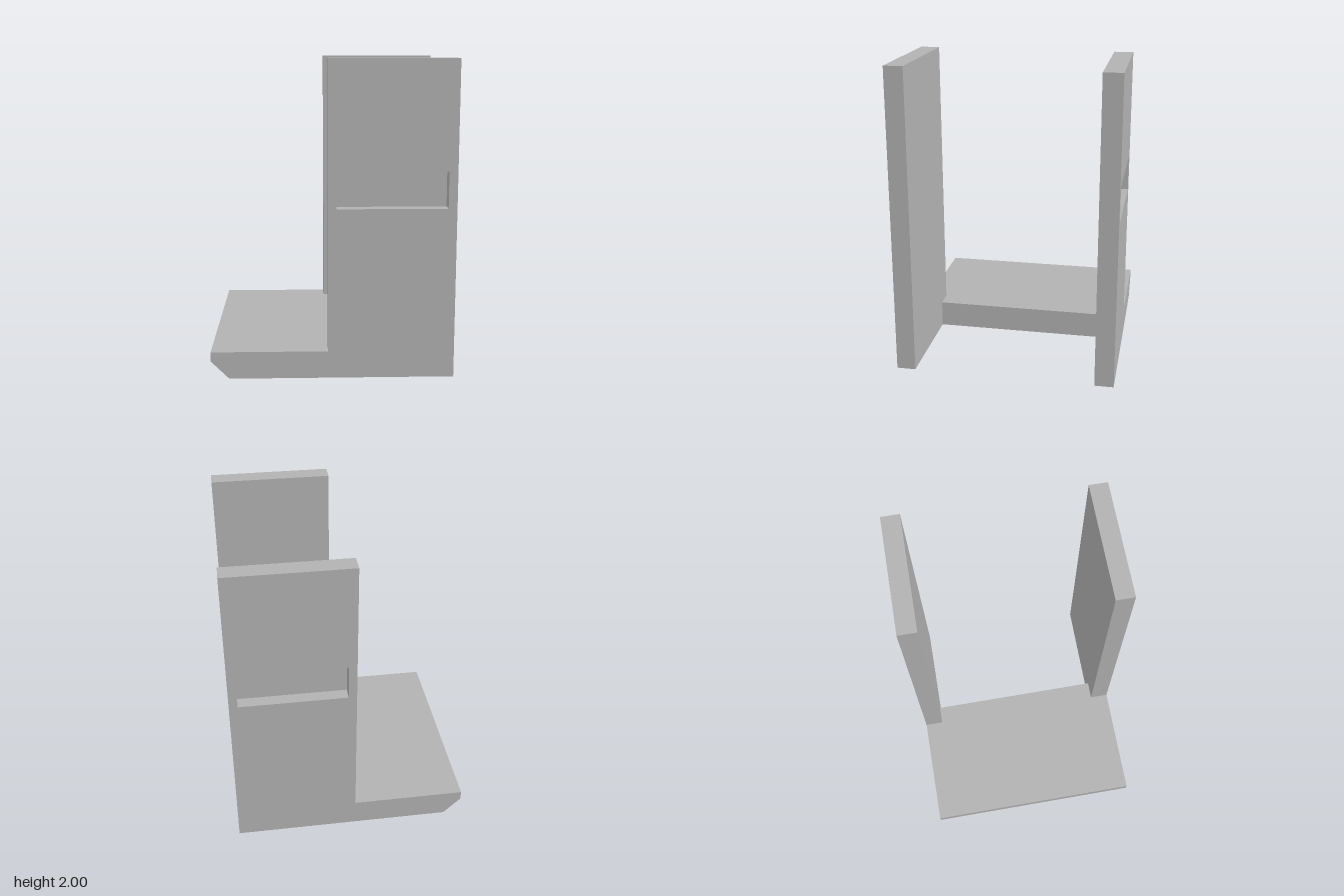
import * as THREE from 'three';

const INNER = 0.59;   // inner face of each side panel
const OUTER = 0.713;  // outer face of each side panel
const RECESS = 0.083; // depth of the handle slot

const shapeFrom = (pts) => new THREE.Shape(pts.map(([x, y]) => new THREE.Vector2(x, y)));

// Base profile with a chamfered lower front edge
const baseProfile = () => shapeFrom([
  [-0.655, 0], [0.088, 0], [0.088, 0.175], [-0.77, 0.175], [-0.77, 0.115],
]);

// L-shaped side profile: foot plus upright
const sideProfile = () => shapeFrom([
  [-0.655, 0], [0.766, 0], [0.766, 2], [-0.031, 2],
  [-0.031, 0.175], [-0.77, 0.175], [-0.77, 0.115],
]);

export function createModel() {
  const group = new THREE.Group();
  group.name = 'cradle';
  const grey = new THREE.MeshStandardMaterial({ color: 0xb2b2b2 });
  grey.name = 'grey';

  // Extrude a profile between two z positions
  const slab = (name, shape, z0, z1, parent) => {
    const geometry = new THREE.ExtrudeGeometry(shape, { depth: z1 - z0, bevelEnabled: false });
    geometry.translate(0, 0, z0);
    const mesh = new THREE.Mesh(geometry, grey);
    mesh.name = name;
    parent.add(mesh);
  };

  slab('basePlate', baseProfile(), -INNER, INNER, group);

  // Each side: solid inner layer, and an outer layer pierced by the slot
  const floor = OUTER - RECESS;
  for (const [side, s] of [['front', 1], ['back', -1]]) {
    const panel = new THREE.Group();
    panel.name = side + 'Panel';
    const pierced = sideProfile();
    pierced.holes.push(new THREE.Path([
      [0.022, 1.085], [0.022, 1.315], [0.711, 1.315], [0.711, 1.085],
    ].map(([x, y]) => new THREE.Vector2(x, y))));
    const span = (a, b) => (s > 0 ? [a, b] : [-b, -a]);
    slab(side + 'InnerLayer', sideProfile(), ...span(INNER, floor), panel);
    slab(side + 'SlottedLayer', pierced, ...span(floor, OUTER), panel);
    group.add(panel);
  }
  return group;
}
